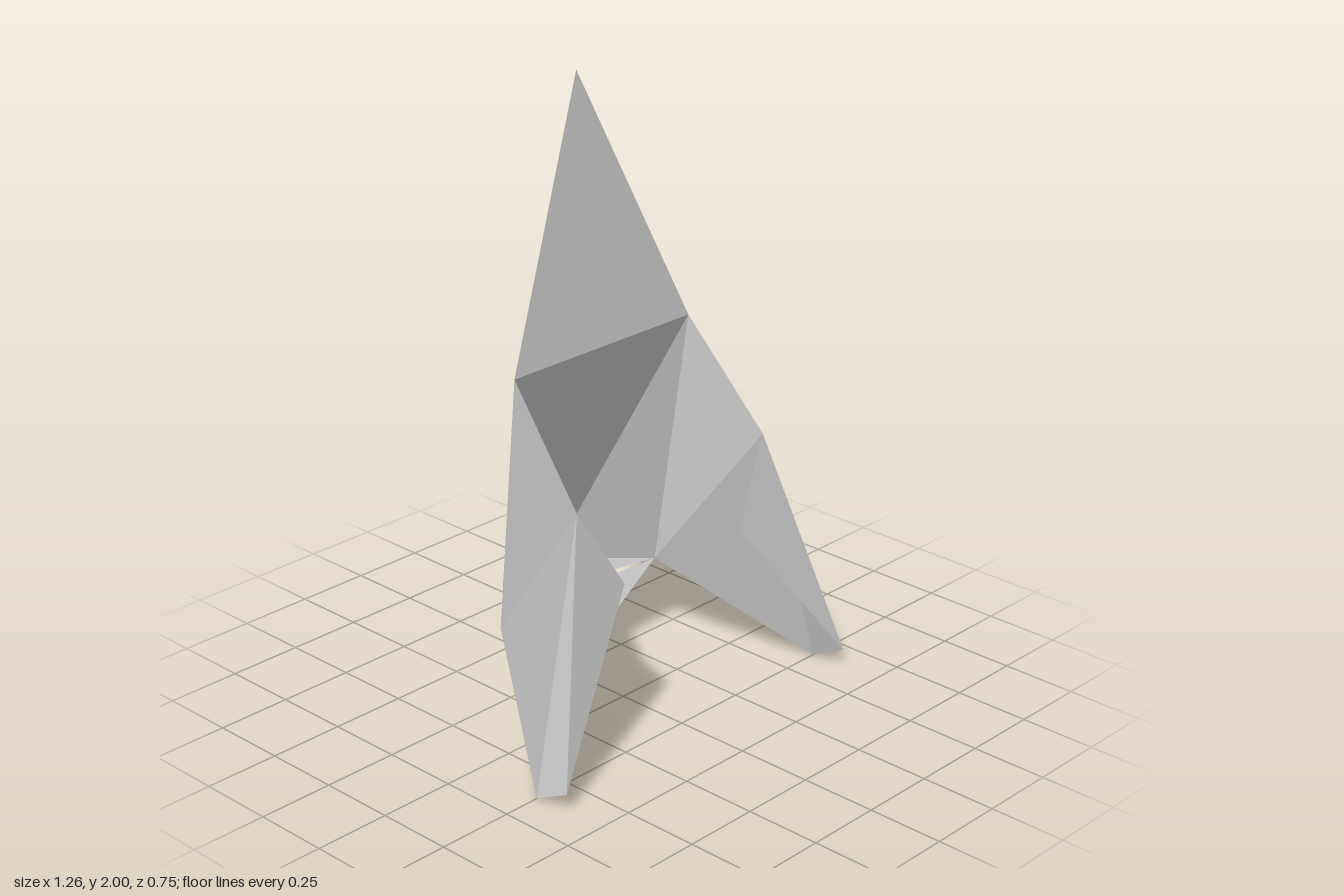
import * as THREE from 'three';

const material = new THREE.MeshStandardMaterial({
  color: 0xcccccc, flatShading: true, side: THREE.DoubleSide,
});

// Corner points of the left (+x) half; the right half is mirrored.
const P = {
  tip: [0, 2, -0.19],
  brow: [0.375, 1.165, -0.08],
  temple: [0.345, 0.305, -0.19],
  ridge: [0, 0.38, -0.315],
  ridgeUnder: [0, 0.305, -0.27],
  cheekTop: [0.408, 0.838, 0.205],
  cheekInner: [0.255, 0.575, 0.25],
  cheekFront: [0.628, 0.068, 0.375],
  cheekBack: [0.628, 0.005, 0.25],
  lipInner: [0, 0.255, -0.28],
  lipOuter: [0, 0.192, -0.378],
  chinCentre: [0, 0.07, -0.315],
  chinSide: [0.127, 0.07, -0.25],
};

// "R:" before a point name picks its mirror image.
function point(name, side) {
  const other = name.startsWith('R:');
  const [x, y, z] = P[other ? name.slice(2) : name];
  return [x * side * (other ? -1 : 1), y, z];
}

// Folded sheet from triangles; side -1 mirrors it and flips the winding.
function sheet(name, triangles, side = 1) {
  const positions = [];
  for (const tri of triangles) {
    const corners = tri.split(' ').map((n) => point(n, side));
    if (side < 0) corners.reverse();
    positions.push(...corners.flat());
  }
  const geometry = new THREE.BufferGeometry();
  geometry.setAttribute('position', new THREE.Float32BufferAttribute(positions, 3));
  geometry.computeVertexNormals();
  const mesh = new THREE.Mesh(geometry, material);
  mesh.name = name;
  return mesh;
}

export function createModel() {
  const model = new THREE.Group();
  model.name = 'foldedMask';

  // Pointed crest and the large central panel
  model.add(sheet('crest', ['brow R:brow tip']));
  model.add(sheet('centrePanel', ['brow ridge R:brow']));

  for (const [label, side] of [['left', 1], ['right', -1]]) {
    // Panel beside the centre, and the small fold under its lower edge
    model.add(sheet(label + 'BackPanel', ['brow temple ridge'], side));
    model.add(sheet(label + 'UpperLip', ['temple ridgeUnder ridge'], side));

    // Swept side wing with its front cheek flap
    model.add(sheet(label + 'Wing', [
      'brow cheekTop temple',
      'cheekTop cheekBack temple',
      'cheekTop cheekFront cheekBack',
    ], side));
    model.add(sheet(label + 'CheekFlap', ['cheekTop cheekInner cheekFront'], side));

    // Hanging jaw, open underneath
    model.add(sheet(label + 'LowerLip', ['temple lipOuter lipInner'], side));
    model.add(sheet(label + 'Jaw', [
      'temple chinSide lipOuter',
      'chinSide chinCentre lipOuter',
    ], side));
  }
  return model;
}
